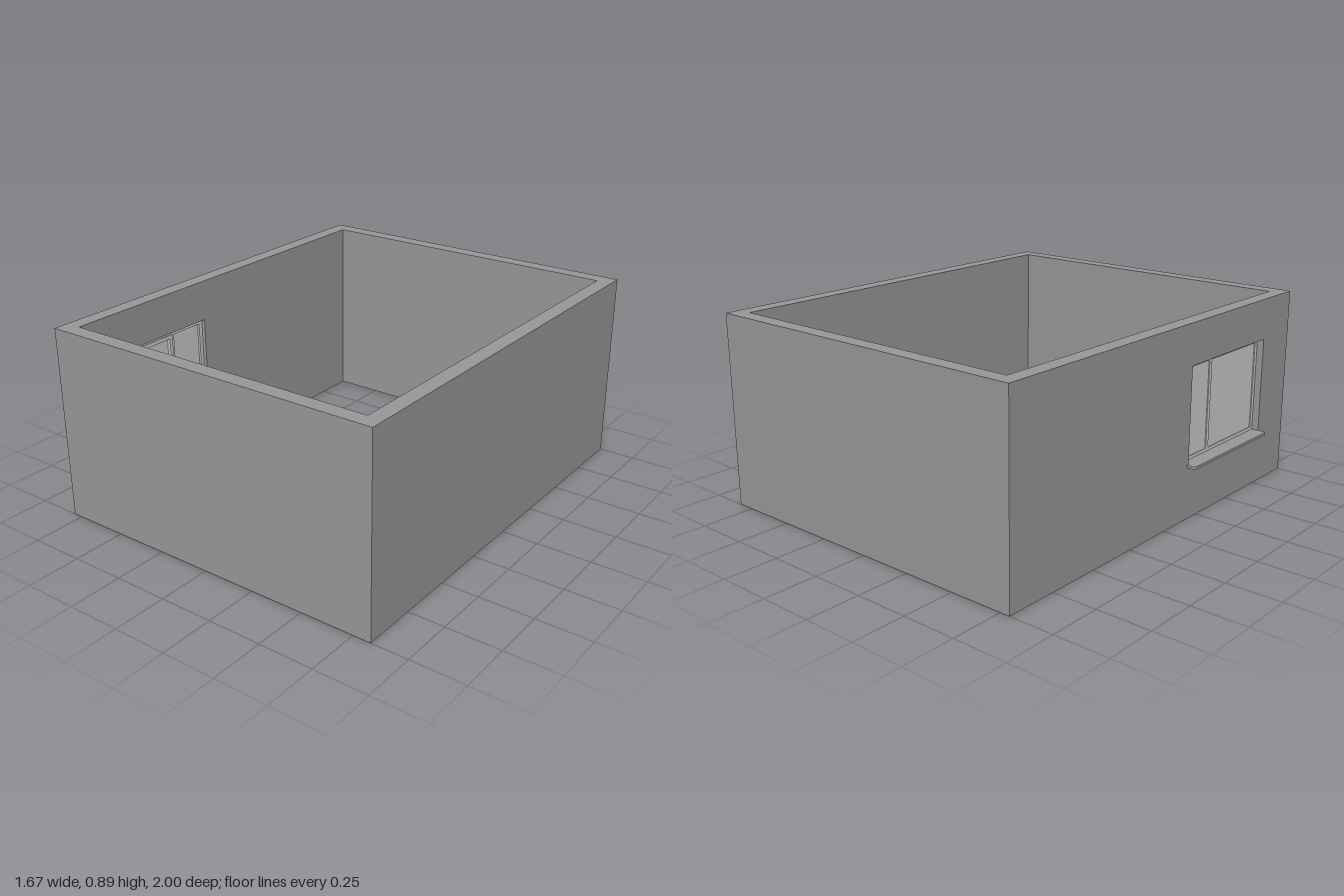
import * as THREE from 'three';

export function createModel() {
  const room = new THREE.Group();
  room.name = 'room';
  const wallMat = new THREE.MeshStandardMaterial({ color: 0x999999 });
  wallMat.name = 'wall grey';
  const frameMat = new THREE.MeshStandardMaterial({ color: 0xcccccc });
  frameMat.name = 'window light grey';

  const add = (parent, name, geometry, material) => {
    const mesh = new THREE.Mesh(geometry, material);
    mesh.name = name;
    parent.add(mesh);
    return mesh;
  };
  // Box given by its minimum and maximum on each axis
  const box = (parent, name, [x0, x1], [y0, y1], [z0, z1], material) => {
    const g = new THREE.BoxGeometry(x1 - x0, y1 - y0, z1 - z0);
    g.translate((x0 + x1) / 2, (y0 + y1) / 2, (z0 + z1) / 2);
    return add(parent, name, g, material);
  };
  const rectPoints = (a0, a1, b0, b1) => [[a0, b0], [a1, b0], [a1, b1], [a0, b1]]
    .map(([a, b]) => new THREE.Vector2(a, b));
  // Rectangle in the z-y plane with a rectangular hole, from x0 to x1
  const holedPanel = (parent, name, outer, hole, x0, x1, material) => {
    const shape = new THREE.Shape(rectPoints(...outer));
    shape.holes.push(new THREE.Path(rectPoints(...hole)));
    const g = new THREE.ExtrudeGeometry(shape, { depth: x1 - x0, bevelEnabled: false });
    g.rotateY(-Math.PI / 2);
    g.translate(x1, 0, 0);
    return add(parent, name, g, material);
  };

  // Walls
  const H = 0.89, X0 = -0.795, X1 = 0.832, T = 0.071;
  const z0 = 0.175, z1 = 0.775, y0 = 0.25, y1 = 0.7;
  box(room, 'frontWall', [X0, X1], [0, H], [1 - T, 1], wallMat);
  box(room, 'backWall', [X0, X1], [0, H], [-1, -1 + T], wallMat);
  box(room, 'leftWall', [X1 - T, X1], [0, H], [-1 + T, 1 - T], wallMat);
  holedPanel(room, 'windowWall', [-1 + T, 1 - T, 0, H], [z0, z1, y0, y1], X0, X0 + T, wallMat);

  // Window sill, a thin slab with rounded corners running through the wall
  const sx0 = -0.835, sx1 = -0.692, sz0 = 0.165, sz1 = 0.78, r = 0.012;
  const sill = new THREE.Shape();
  sill.moveTo(sx0 + r, -sz1);
  sill.lineTo(sx1 - r, -sz1);
  sill.absarc(sx1 - r, -sz1 + r, r, -Math.PI / 2, 0);
  sill.absarc(sx1 - r, -sz0 - r, r, 0, Math.PI / 2);
  sill.absarc(sx0 + r, -sz0 - r, r, Math.PI / 2, Math.PI);
  sill.absarc(sx0 + r, -sz1 + r, r, Math.PI, Math.PI * 1.5);
  const sillGeo = new THREE.ExtrudeGeometry(sill, { depth: 0.013, bevelEnabled: false, curveSegments: 4 });
  sillGeo.rotateX(-Math.PI / 2);
  sillGeo.translate(0, 0.243, 0);
  add(room, 'windowSill', sillGeo, wallMat);

  // Window: panes, outer frame, mullion, two casements and a fixed light
  const win = new THREE.Group();
  win.name = 'window';
  room.add(win);
  const bottom = 0.256, mid = 0.375;
  box(win, 'panes', [-0.758, -0.752], [bottom, y1], [z0, z1], frameMat);
  holedPanel(win, 'windowFrame', [z0, z1, bottom, y1], [z0 + 0.02, z1 - 0.02, bottom + 0.015, y1 - 0.02],
    -0.762, -0.742, frameMat);
  box(win, 'mullion', [-0.762, -0.742], [bottom + 0.015, y1 - 0.02], [mid - 0.01, mid + 0.01], frameMat);
  for (const [a, b] of [[mid + 0.005, 0.562], [0.566, z1 - 0.015]]) {
    holedPanel(win, 'casement', [a, b, bottom + 0.012, y1 - 0.015],
      [a + 0.018, b - 0.018, bottom + 0.03, y1 - 0.033], -0.752, -0.736, frameMat);
  }

  // Handle on the casement
  box(win, 'handleBase', [-0.736, -0.728], [0.445, 0.475], [0.57, 0.58], frameMat);
  box(win, 'handleLever', [-0.728, -0.721], [0.43, 0.465], [0.571, 0.579], frameMat);

  return room;
}
